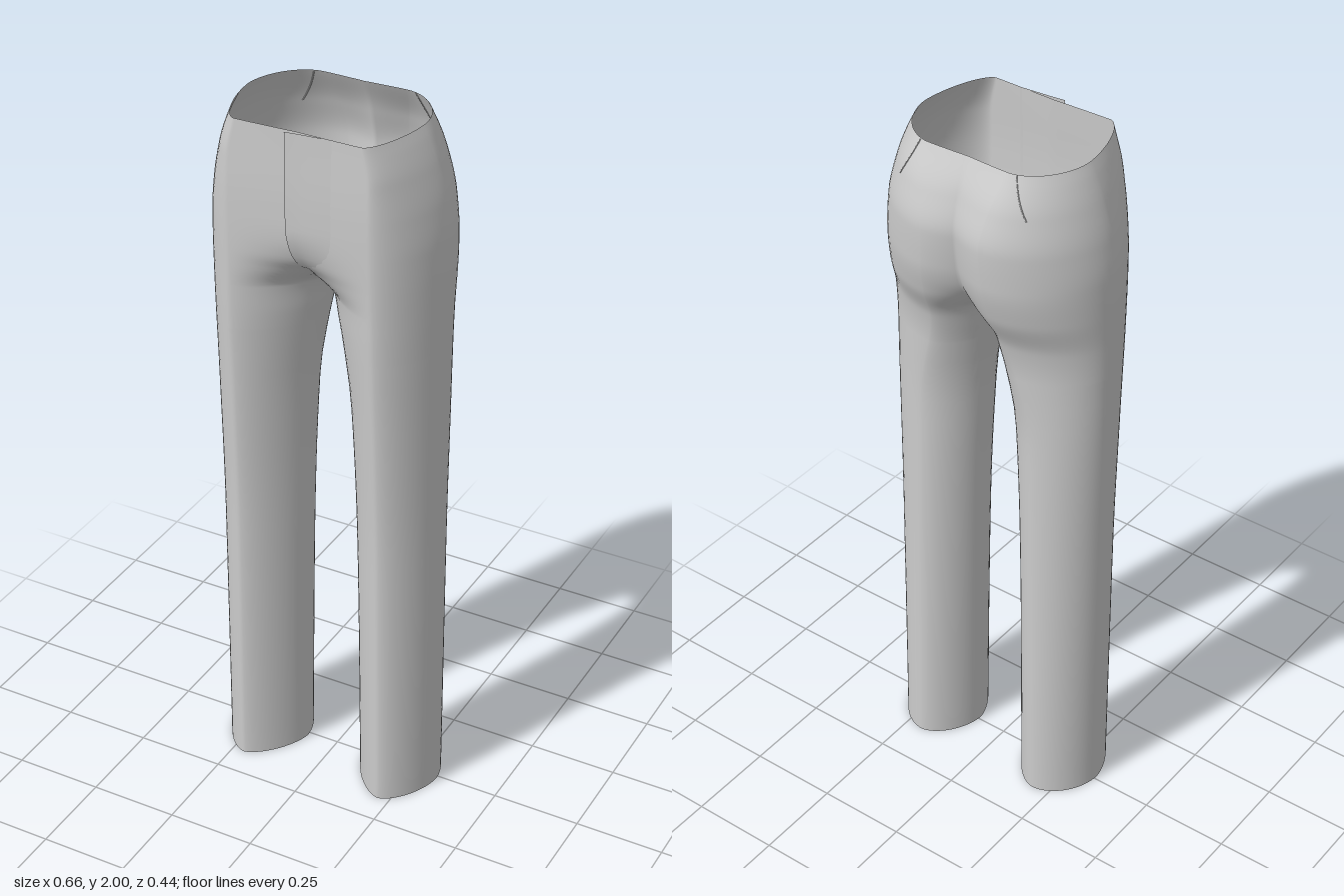
import * as THREE from 'three';
import { mergeVertices } from 'three/addons/utils/BufferGeometryUtils.js';

// Smooth value along the height, from [y, value] pairs
function profile(pts) {
  const slope = pts.map((p, i) => {
    if (i === 0 || i === pts.length - 1) return 0;
    const a = (p[1] - pts[i - 1][1]) / (p[0] - pts[i - 1][0]);
    const b = (pts[i + 1][1] - p[1]) / (pts[i + 1][0] - p[0]);
    return a * b <= 0 ? 0 : (2 * a * b) / (a + b);
  });
  const last = pts.length - 1;
  slope[0] = (pts[1][1] - pts[0][1]) / (pts[1][0] - pts[0][0]);
  slope[last] = (pts[last][1] - pts[last - 1][1]) / (pts[last][0] - pts[last - 1][0]);
  return (y) => {
    let i = 0;
    while (i < last - 1 && y > pts[i + 1][0]) i++;
    const h = pts[i + 1][0] - pts[i][0];
    const t = (y - pts[i][0]) / h, t2 = t * t, t3 = t2 * t;
    return (2 * t3 - 3 * t2 + 1) * pts[i][1] + (t3 - 2 * t2 + t) * h * slope[i]
      + (3 * t2 - 2 * t3) * pts[i + 1][1] + (t3 - t2) * h * slope[i + 1];
  };
}

const MID_Z = 0.01;
// Outer side, front crease, back crease
const outerX = profile([[0, 0.322], [0.8, 0.322], [1.2, 0.326], [1.6, 0.33], [1.7, 0.328],
  [1.8, 0.316], [1.9, 0.29], [1.97, 0.263], [2, 0.248]]);
const frontX = profile([[0, 0.215], [1.2, 0.205], [1.9, 0.195], [2, 0.175]]);
const frontZ = profile([[0, 0.165], [0.8, 0.172], [1.2, 0.188], [1.5, 0.203], [1.8, 0.21], [2, 0.204]]);
const backX = profile([[0, 0.2], [1.2, 0.18], [1.5, 0.12], [1.8, 0.09], [2, 0.12]]);
const backZ = profile([[0, -0.133], [1.2, -0.124], [1.4, -0.135], [1.5, -0.152], [1.6, -0.195],
  [1.7, -0.217], [1.8, -0.222], [1.9, -0.197], [2, -0.145]]);
// Inner side; negative values mean the two halves meet at x = 0
const inner = [[0, 0.09], [0.4, 0.085], [0.8, 0.077], [1.2, 0.058], [1.35, 0.037], [1.45, 0.018], [1.53, 0]];
const innerFrontX = profile([...inner, [1.6, -0.15], [1.65, -0.5], [1.75, -1.5], [2, -1.5]]);
const innerBackX = profile([...inner, [1.57, -0.04], [1.65, -0.12], [1.8, -0.17], [1.9, -0.25], [2, -0.6]]);

// Rounded arc from the side point to the crease; stops at x = 0
function arc(sideX, creaseX, creaseZ, n, t) {
  const start = sideX < 0 ? Math.acos(Math.pow(creaseX / (creaseX - sideX), n / 2)) : 0;
  const a = start + (Math.PI / 2 - start) * t;
  const c = Math.pow(Math.max(0, Math.cos(a)), 2 / n);
  const s = Math.pow(Math.max(0, Math.sin(a)), 2 / n);
  return [creaseX + (sideX - creaseX) * c, MID_Z + (creaseZ - MID_Z) * s];
}

// Point of one half: quarters run inner, front, outer, back, inner
function surfacePoint(y, quarter, t) {
  const fx = frontX(y), fz = frontZ(y), bx = backX(y), bz = backZ(y);
  if (quarter === 0) return arc(innerFrontX(y), fx, fz, 1.5, t);
  if (quarter === 1) return arc(outerX(y), fx, fz, 1.6, 1 - t);
  if (quarter === 2) return arc(outerX(y), bx, bz, 1.8, t);
  return arc(innerBackX(y), bx, bz, 1.7, 1 - t);
}

function trouserShell() {
  const ys = [];
  for (let i = 0; i < 20; i++) ys.push(i * 0.07);
  for (let i = 140; i <= 200; i++) ys.push(i / 100);
  const seg = 16, cols = seg * 4 + 1;
  const pos = [], idx = [];
  for (const side of [1, -1]) {
    const base = pos.length / 3;
    ys.forEach((y, r) => {
      for (let c = 0; c < cols; c++) {
        const q = Math.min(3, Math.floor(c / seg));
        const [x, z] = surfacePoint(y, q, c / seg - q);
        pos.push(side * x, y, z);
        if (r === 0 || c === 0) continue;
        const d = base + r * cols + c, b = d - cols;
        if (side > 0) idx.push(b - 1, b, d, b - 1, d, d - 1);
        else idx.push(b - 1, d, b, b - 1, d - 1, d);
      }
    });
  }
  let geo = new THREE.BufferGeometry();
  geo.setAttribute('position', new THREE.Float32BufferAttribute(pos, 3));
  geo.setIndex(idx);
  geo = mergeVertices(geo, 1e-5);
  geo.computeVertexNormals();
  return geo;
}

// Overlapping flap, lifted at its free edge
function flyGeometry() {
  const geo = new THREE.PlaneGeometry(1, 1, 6, 20);
  const p = geo.attributes.position;
  const edge = profile([[1.6, 0], [1.66, -0.02], [1.75, -0.027], [2, -0.03]]);
  for (let i = 0; i < p.count; i++) {
    const u = p.getX(i) + 0.5, y = 1.6 + 0.4 * (p.getY(i) + 0.5);
    const x = edge(y) + (0.1 - edge(y)) * u;
    const lift = 0.014 * Math.min(1, (y - 1.6) / 0.12) * (1 - u);
    const [, centreZ] = surfacePoint(y, 0, 0);
    const z = centreZ + (frontZ(y) - centreZ) * Math.min(1, Math.abs(x) / frontX(y));
    p.setXYZ(i, x, y, z + lift);
  }
  geo.computeVertexNormals();
  return geo;
}

// Short stitched dart below the back of the waist
function dartGeometry(side) {
  const pts = [];
  for (let i = 0; i <= 5; i++) {
    const k = i / 5, y = 1.998 - 0.1 * k;
    const [x, z] = surfacePoint(y, 2, 0.86 - 0.2 * k);
    pts.push(new THREE.Vector3(side * x, y, z));
  }
  return new THREE.TubeGeometry(new THREE.CatmullRomCurve3(pts), 12, 0.0018, 5);
}

export function createModel() {
  const group = new THREE.Group();
  group.name = 'trousers';
  const material = new THREE.MeshStandardMaterial({ color: 0xcccccc, side: THREE.DoubleSide });
  const add = (name, geo) => {
    const mesh = new THREE.Mesh(geo, material);
    mesh.name = name;
    group.add(mesh);
  };
  add('trouserShell', trouserShell());
  add('flyFlap', flyGeometry());
  add('leftBackDart', dartGeometry(1));
  add('rightBackDart', dartGeometry(-1));
  return group;
}
